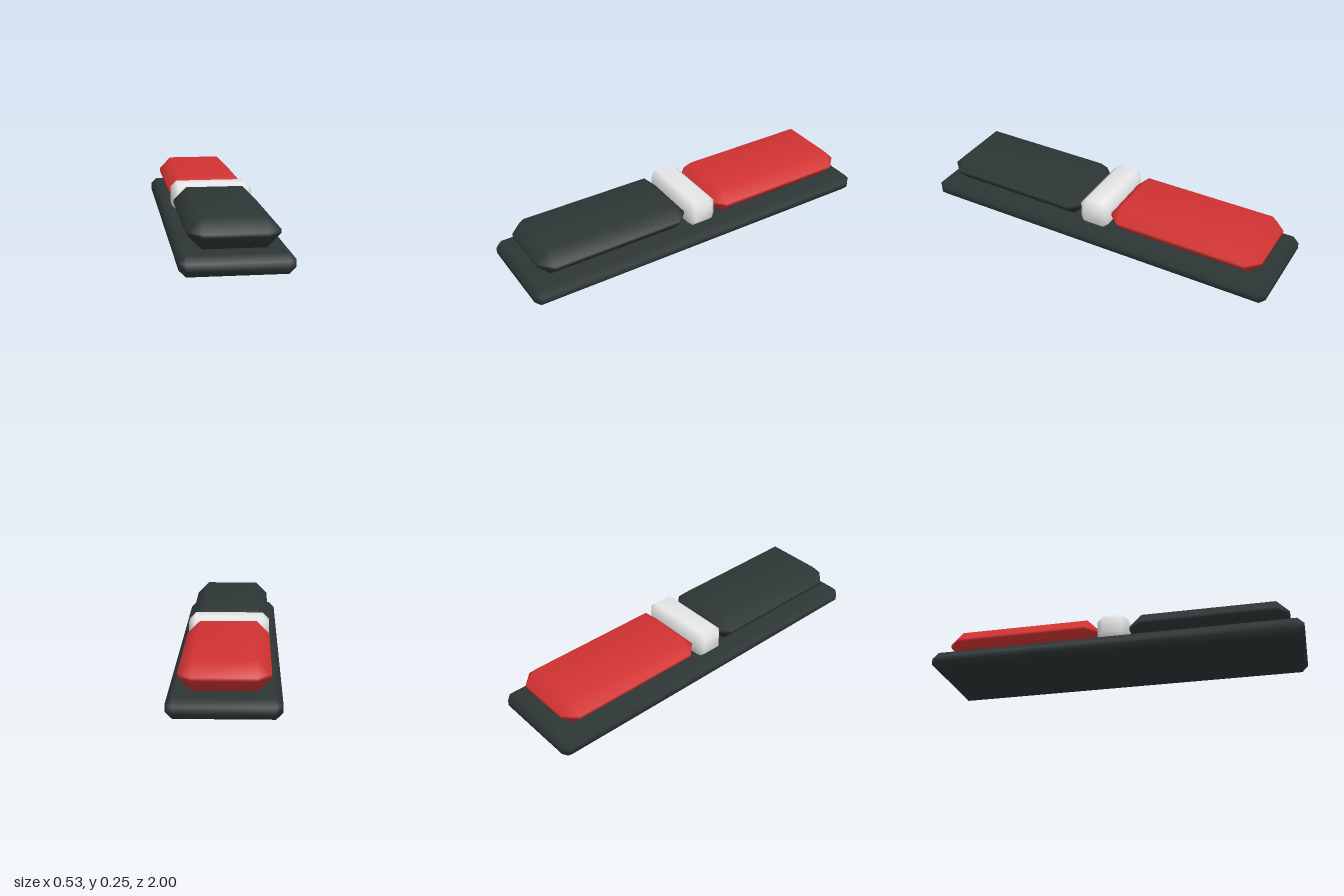
import * as THREE from 'three';
import { ConvexGeometry } from 'three/addons/geometries/ConvexGeometry.js';
import { mergeVertices } from 'three/addons/utils/BufferGeometryUtils.js';

// Box with one 45 degree chamfer on every edge, shaded smoothly across it
function chamferedBox(w, h, d, c) {
  const points = [];
  for (const x of [-1, 1]) for (const y of [-1, 1]) for (const z of [-1, 1]) {
    for (let axis = 0; axis < 3; axis++) {
      const inset = [c, c, c];
      inset[axis] = 0;
      points.push(new THREE.Vector3(
        x * (w / 2 - inset[0]), y * (h / 2 - inset[1]), z * (d / 2 - inset[2])));
    }
  }
  const hull = new ConvexGeometry(points);
  hull.deleteAttribute('normal');
  const geometry = mergeVertices(hull, 1e-4);
  geometry.computeVertexNormals();
  return geometry;
}

function material(name, color) {
  const m = new THREE.MeshStandardMaterial({ color });
  m.name = name;
  return m;
}

export function createModel() {
  const group = new THREE.Group();
  group.name = 'rockerSwitch';
  const dark = material('darkGrey', 0x2d3535);
  const red = material('red', 0xd23232);
  const white = material('white', 0xf5f5f5);

  const add = (name, mat, [w, h, d], chamfer, y, z) => {
    const mesh = new THREE.Mesh(chamferedBox(w, h, d, chamfer), mat);
    mesh.name = name;
    mesh.position.set(0, y, z);
    group.add(mesh);
  };

  // Long base plate
  add('basePlate', dark, [0.534, 0.1, 2], 0.0333, 0.05, 0);
  // Two padded bars, front and back
  const bar = [0.434, 0.15, 0.85];
  add('frontBar', dark, bar, 0.0667, 0.175, 0.508);
  add('backBar', red, bar, 0.0667, 0.175, -0.508);
  // Band between the bars
  add('centreBand', white, [0.434, 0.15, 0.167], 0.0333, 0.175, 0);

  return group;
}
